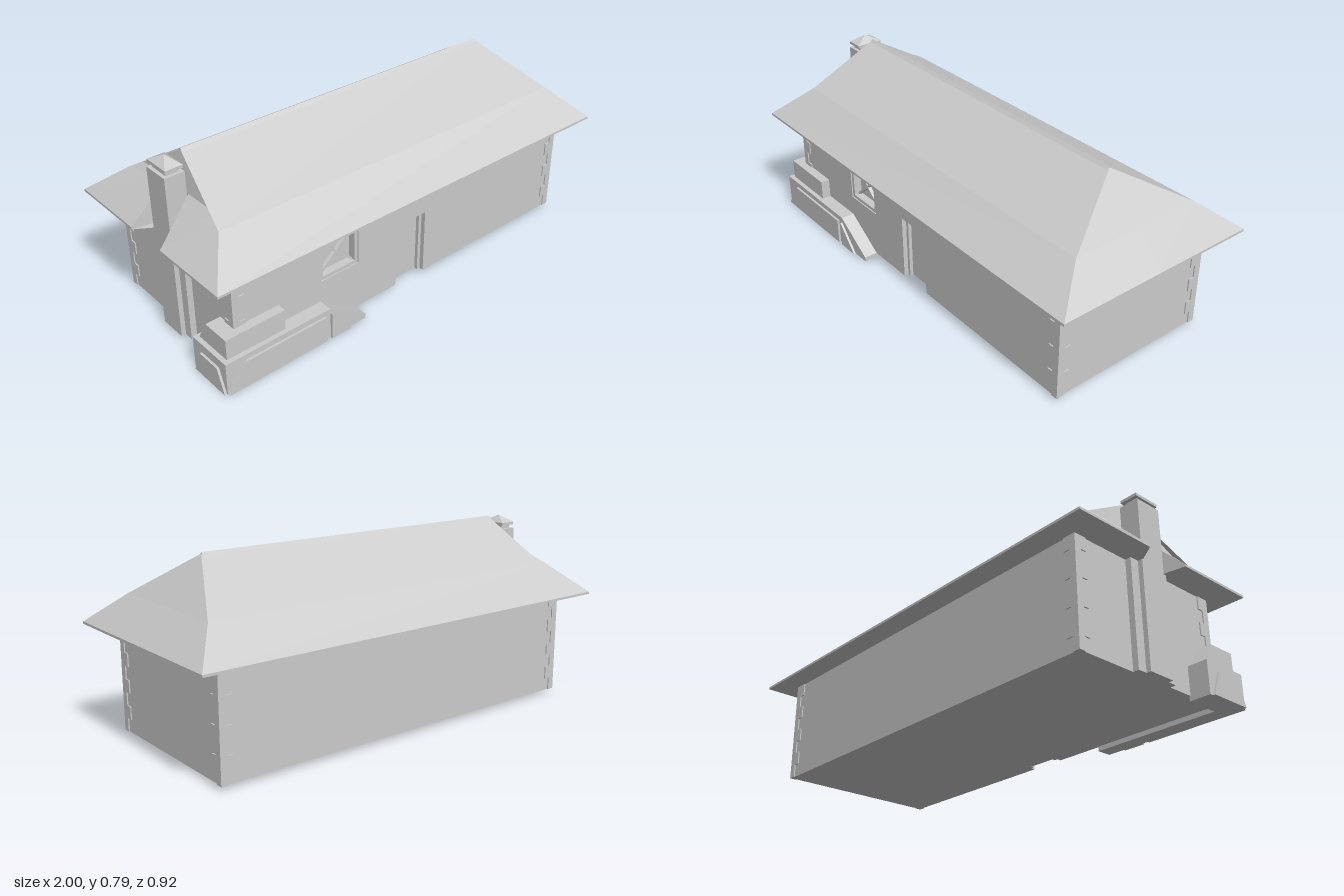
import * as THREE from 'three';

const mat = new THREE.MeshStandardMaterial({ color: 0xcccccc, flatShading: true, side: THREE.DoubleSide });

export function createModel() {
  const root = new THREE.Group();
  const add = (name, geo, parent = root) => {
    const m = new THREE.Mesh(geo, mat);
    m.name = name;
    parent.add(m);
    return m;
  };
  const group = (name) => {
    const g = new THREE.Group();
    g.name = name;
    root.add(g);
    return g;
  };
  // Box given by its minimum and maximum corners
  const box = (name, x0, x1, y0, y1, z0, z1, parent) => {
    const m = add(name, new THREE.BoxGeometry(x1 - x0, y1 - y0, z1 - z0), parent);
    m.position.set((x0 + x1) / 2, (y0 + y1) / 2, (z0 + z1) / 2);
    return m;
  };
  const poly = (pts) => new THREE.Shape(pts.map(([x, y]) => new THREE.Vector2(x, y)));
  const slab = (name, shape, z0, z1, parent) => {
    const m = add(name, new THREE.ExtrudeGeometry(shape, { depth: z1 - z0, bevelEnabled: false }), parent);
    m.position.z = z0;
    return m;
  };
  const rect = (x0, x1, y0, y1) => [[x0, y0], [x1, y0], [x1, y1], [x0, y1]];

  // Walls, with the front wall pierced for the door and window
  const walls = group('walls');
  box('wallBody', -0.885, 0.885, 0.02, 0.47, -0.365, 0.325, walls);
  const front = poly([[-0.885, 0.02], [-0.085, 0.02], [-0.085, 0.31], [0.075, 0.31],
    [0.075, 0.02], [0.885, 0.02], [0.885, 0.47], [-0.885, 0.47]]);
  front.holes.push(poly(rect(-0.48, -0.29, 0.23, 0.4)));
  slab('frontWall', front, 0.325, 0.365, walls);

  // Toothed corner stones
  const quoins = group('cornerStones');
  const h = 0.445 / 8;
  for (const sx of [-1, 1]) for (const sz of [-1, 1]) for (let i = 0; i < 8; i++) {
    const w = i % 2 ? 0.055 : 0.03;
    const c = 0.02 + (i + 0.5) * h;
    const a = add('cornerStone', new THREE.BoxGeometry(w, h, w), quoins);
    a.position.set(sx * (0.89 - w / 2), c, sz * (0.37 - w / 2));
  }

  // Door: leaf and jambs inside the opening
  const door = group('door');
  box('doorLeaf', -0.07, 0.06, 0.02, 0.295, 0.32, 0.33, door);
  box('doorJamb', -0.085, -0.07, 0.02, 0.31, 0.32, 0.345, door);
  box('doorJamb', 0.06, 0.075, 0.02, 0.31, 0.32, 0.345, door);
  box('doorHead', -0.085, 0.075, 0.295, 0.31, 0.32, 0.345, door);

  // Window: frame and crossed bars
  const win = group('window');
  const frame = poly(rect(-0.48, -0.29, 0.23, 0.4));
  frame.holes.push(poly(rect(-0.465, -0.305, 0.245, 0.385)));
  slab('windowFrame', frame, 0.325, 0.36, win);
  for (const s of [-1, 1]) {
    const bar = add('windowCrossBar', new THREE.BoxGeometry(0.215, 0.01, 0.015), win);
    bar.position.set(-0.385, 0.315, 0.335);
    bar.rotation.z = s * Math.atan2(0.14, 0.16);
  }

  // Roof: each polygon of the front half is mirrored to the back half
  const pos = [];
  const face = (...p) => {
    for (let i = 1; i < p.length - 1; i++) pos.push(...p[0], ...p[i], ...p[i + 1]);
  };
  const both = (...p) => {
    face(...p);
    face(...p.map(([x, y, z]) => [x, y, -z]).reverse());
  };
  const e = 0.465;
  const L0 = [-1, 0.475, 0.46], L1 = [-0.875, 0.6, 0.3], L2 = [-0.845, 0.635, 0.24], LT = [-0.82, 0.78, 0];
  const R0 = [1, 0.475, 0.46], R1 = [0.878, 0.6, 0.3], RT = [0.72, 0.78, 0];
  const N0 = [-1, 0.475, 0.1], N1 = [-0.845, 0.635, 0.07];
  const low = ([x, , z]) => [x, e, z];
  const mid = ([x, y]) => [x, y, 0];
  both(L0, R0, R1, L1);                       // lower slope
  both(L1, R1, RT, LT, L2);                   // upper slope
  both(R0, mid(R0), mid(R1), R1);             // right hip, lower
  both(R1, mid(R1), RT);                      // right hip, upper
  both(N0, L0, L1, L2, N1);                   // left hip beside the chimney notch
  both(L2, LT, mid(L2));                      // gablet
  both(low(L0), low(R0), R0, L0);             // eave edges
  both(low(R0), low(mid(R0)), mid(R0), R0);
  both(low(N0), low(L0), L0, N0);
  both(low(N0), N0, N1, low(N1));             // notch sides
  both(low(N1), N1, mid(N1), low(mid(N1)));
  both(low(N1), low(mid(N1)), low(mid(R0)), low(R0), low(L0), low(N0)); // soffit
  const roofGeo = new THREE.BufferGeometry();
  roofGeo.setAttribute('position', new THREE.Float32BufferAttribute(pos, 3));
  roofGeo.computeVertexNormals();
  add('roof', roofGeo);

  // Ridge cap running along x
  const cap = new THREE.ExtrudeGeometry(poly([[-0.02, 0.765], [0.02, 0.765], [0, 0.785]]),
    { depth: 1.54, bevelEnabled: false });
  cap.rotateY(Math.PI / 2);
  add('ridgeCap', cap).position.x = -0.82;

  // Chimney: stepped base, shaft, collar and pointed cap
  const chimney = group('chimney');
  box('chimneyBase', -0.91, -0.88, 0.02, 0.47, -0.1, 0.1, chimney);
  box('chimneyShaft', -0.93, -0.845, 0.02, 0.725, -0.06, 0.06, chimney);
  box('chimneyNeck', -0.915, -0.86, 0.725, 0.745, -0.045, 0.045, chimney);
  box('chimneyCollar', -0.925, -0.85, 0.742, 0.754, -0.06, 0.06, chimney);
  const tip = add('chimneyCap', new THREE.ConeGeometry(Math.SQRT1_2, 1, 4).rotateY(Math.PI / 4), chimney);
  tip.scale.set(0.075, 0.03, 0.12);
  tip.position.set(-0.8875, 0.769, 0);

  // Stepped buttress wrapping the front corner, sloping down along the wall
  const butt = group('cornerButtress');
  slab('buttressFront', poly([[-0.97, 0], [-0.305, 0], [-0.305, 0.02], [-0.485, 0.138], [-0.97, 0.138]]),
    0.36, 0.425, butt);
  box('buttressSide', -0.97, -0.88, 0, 0.138, 0.215, 0.425, butt);
  slab('frontPanel', poly([[-0.965, 0], [-0.51, 0], [-0.51, 0.115], [-0.885, 0.115]]), 0.42, 0.435, butt);
  slab('slopePanel', poly([[-0.485, 0], [-0.385, 0], [-0.485, 0.115]]), 0.42, 0.435, butt);
  const side = slab('sidePanel', poly([[-0.42, 0], [-0.23, 0], [-0.27, 0.1], [-0.38, 0.1]]), 0, 0.015, butt);
  side.rotation.y = Math.PI / 2;
  side.position.set(-0.98, 0, 0);
  box('upperFront', -0.95, -0.685, 0.138, 0.225, 0.36, 0.405, butt);
  const upperSide = slab('upperSide', poly([[-0.405, 0.138], [-0.23, 0.138], [-0.28, 0.225], [-0.405, 0.225]]), 0, 0.07, butt);
  upperSide.rotation.y = Math.PI / 2;
  upperSide.position.set(-0.95, 0, 0);

  return root;
}
